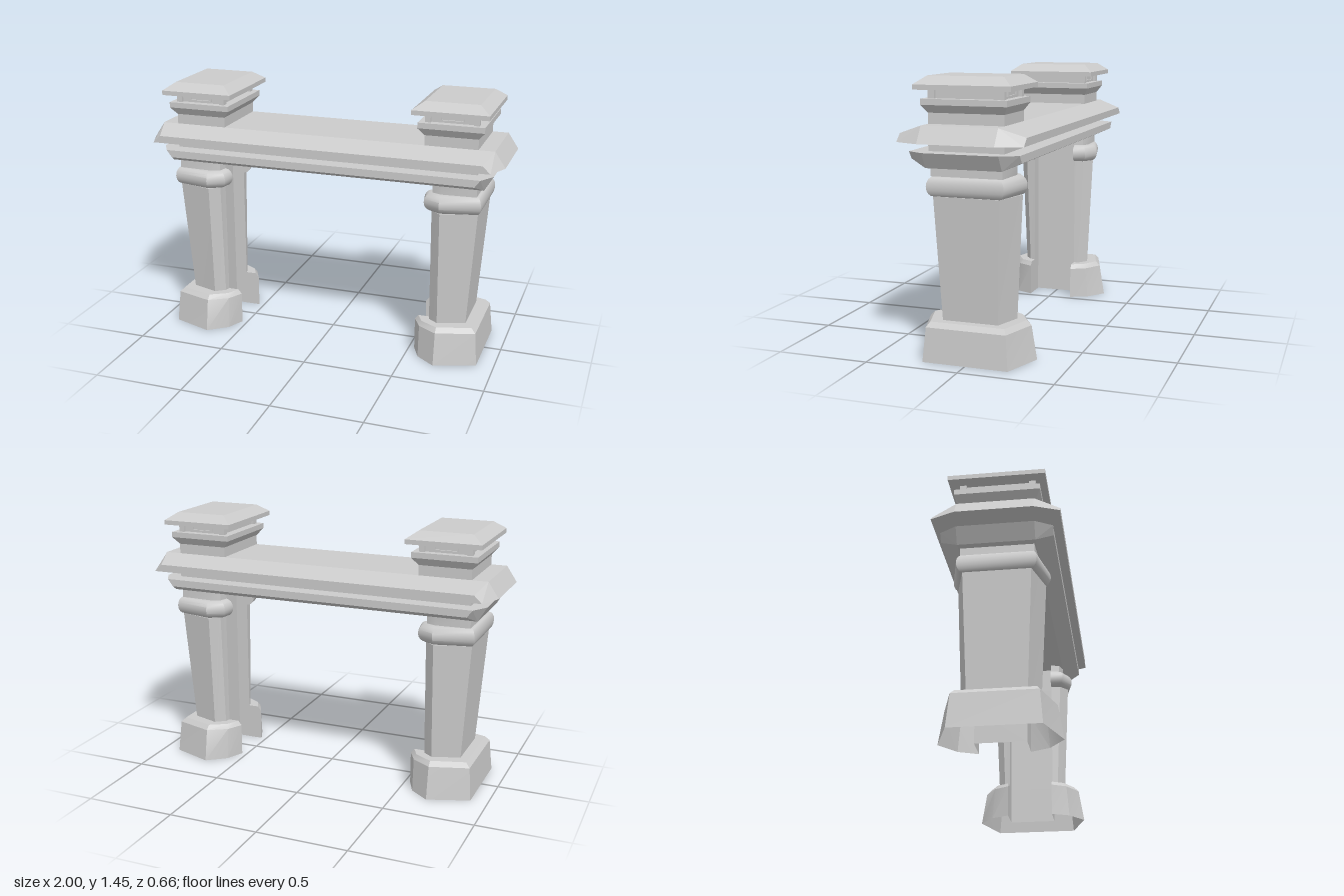
import * as THREE from 'three';
import { toCreasedNormals } from 'three/addons/utils/BufferGeometryUtils.js';
import { ConvexGeometry } from 'three/addons/geometries/ConvexGeometry.js';

const material = new THREE.MeshStandardMaterial({ color: 0xcccccc, side: THREE.DoubleSide });

function add(parent, name, geometry) {
  const mesh = new THREE.Mesh(geometry, material);
  mesh.name = name;
  parent.add(mesh);
  return mesh;
}

// Skin a stack of equal-length rings (bottom to top), leaving the ends open
function loft(rings, crease = 0.5) {
  const out = [];
  const tri = new THREE.Triangle();
  const push = (a, b, c) => {
    tri.set(a, b, c);
    if (tri.getArea() > 1e-8) out.push(...a, ...b, ...c);
  };
  for (let k = 0; k + 1 < rings.length; k++) {
    const lo = rings[k], hi = rings[k + 1], n = lo.length;
    for (let i = 0; i < n; i++) {
      const j = (i + 1) % n;
      push(lo[i], lo[j], hi[j]);
      push(lo[i], hi[j], hi[i]);
    }
  }
  const geo = new THREE.BufferGeometry();
  geo.setAttribute('position', new THREE.Float32BufferAttribute(out, 3));
  return toCreasedNormals(geo, crease);
}

// C-shaped pillar section with a notch facing the passage
const NOTCH_X = 0.68, NOTCH_Z = 0.13;
function section(y, xi, x2, z2, zm, xo, zo, xm = 0.67) {
  const half = [[NOTCH_X, NOTCH_Z], [xi, NOTCH_Z], [x2, z2], [xm, zm], [xo, zo]];
  const all = [...half, ...half.slice().reverse().map(([x, z]) => [x, -z])];
  return all.map(([x, z]) => new THREE.Vector3(x, y, z));
}

// Solid hull from corner points mirrored in the given axes
function hull(corners, mirrorX = true, cx = 0) {
  const pts = [];
  for (const [x, y, z] of corners)
    for (const sx of mirrorX ? [-1, 1] : [1])
      for (const sz of [-1, 1]) pts.push(new THREE.Vector3(cx + sx * x, y, sz * z));
  return new ConvexGeometry(pts);
}

function box(w, y0, y1, d, x = 0, z = 0) {
  return new THREE.BoxGeometry(w, y1 - y0, d).translate(x, (y0 + y1) / 2, z);
}

function makePillar() {
  const g = new THREE.Group();
  const shaftLow = section(0.205, 0.61, 0.617, 0.16, 0.2, 0.82, 0.15);
  const shaftTop = section(0.85, 0.61, 0.617, 0.185, 0.23, 0.865, 0.175);

  add(g, 'pillarBase', loft([
    section(0, 0.53, 0.575, 0.23, 0.31, 0.905, 0.23, 0.68),
    section(0.18, 0.53, 0.575, 0.215, 0.28, 0.89, 0.215, 0.68),
    section(0.205, 0.55, 0.585, 0.2, 0.255, 0.865, 0.2, 0.68),
    shaftLow,
  ]));
  add(g, 'pillarShaft', loft([shaftLow, shaftTop]));

  // Rounded collar: blend from the shaft outline out to the bulge and back
  const collar = [shaftTop];
  for (let i = 0; i <= 8; i++) {
    const a = Math.PI * (i / 8 - 0.5);
    const b = Math.cos(a);
    collar.push(section(0.9 + 0.05 * Math.sin(a), 0.605 - 0.042 * b, 0.617 - 0.04 * b,
      0.18 + 0.025 * b, 0.215 + 0.04 * b, 0.86 + 0.024 * b, 0.175 + 0.03 * b));
  }
  const neckLow = section(0.95, 0.605, 0.617, 0.18, 0.2, 0.857, 0.19);
  collar.push(neckLow);
  add(g, 'pillarCollar', loft(collar, 0.7));
  add(g, 'pillarNeck', loft([neckLow, section(1.0, 0.605, 0.617, 0.18, 0.2, 0.857, 0.19)]));
  return g;
}

function makeTurret() {
  const g = new THREE.Group();
  const cx = 0.713;
  add(g, 'turretCore', box(0.286, 1.2, 1.31, 0.4, cx));
  add(g, 'turretCornice', hull([
    [0.143, 1.265, 0.2], [0.177, 1.305, 0.225], [0.177, 1.335, 0.225],
  ], true, cx));

  // Recessed upper stage with corner posts and slot frames
  add(g, 'turretUpperStage', box(0.25, 1.33, 1.385, 0.365, cx));
  for (const sx of [-1, 1])
    for (const sz of [-1, 1])
      add(g, 'cornerPost', box(0.03, 1.33, 1.385, 0.035, cx + sx * 0.128, sz * 0.1825));
  for (const sz of [-1, 1]) {
    const z = sz * 0.186;
    for (const y of [1.345, 1.366]) add(g, 'slotRail', box(0.125, y, y + 0.005, 0.012, cx, z));
    for (const sx of [-1, 1]) add(g, 'slotEnd', box(0.005, 1.345, 1.371, 0.012, cx + sx * 0.06, z));
  }

  add(g, 'turretCap', hull([
    [0.204, 1.38, 0.255], [0.204, 1.405, 0.255], [0.145, 1.447, 0.2],
  ], true, cx));
  return g;
}

export function createModel() {
  const model = new THREE.Group();
  model.name = 'gateway';

  // Pillars and turrets, the second side turned half a circle
  for (const [side, turn] of [['left', 0], ['right', Math.PI]]) {
    const pillar = makePillar();
    pillar.name = side + 'Pillar';
    const turret = makeTurret();
    turret.name = side + 'Turret';
    for (const part of [pillar, turret]) {
      part.rotation.y = turn;
      model.add(part);
    }
  }

  // Lintel: lower moulding, plain core, upper moulding
  add(model, 'lowerMoulding', hull([
    [0.895, 0.995, 0.2], [0.86, 1.035, 0.29], [0.89, 1.075, 0.29], [0.943, 1.075, 0.2],
  ]));
  add(model, 'lintelCore', box(1.714, 1.07, 1.13, 0.4));
  add(model, 'upperMoulding', hull([
    [0.943, 1.21, 0.2], [0.905, 1.165, 0.33], [0.947, 1.125, 0.33], [1, 1.125, 0.2],
  ]));
  return model;
}
